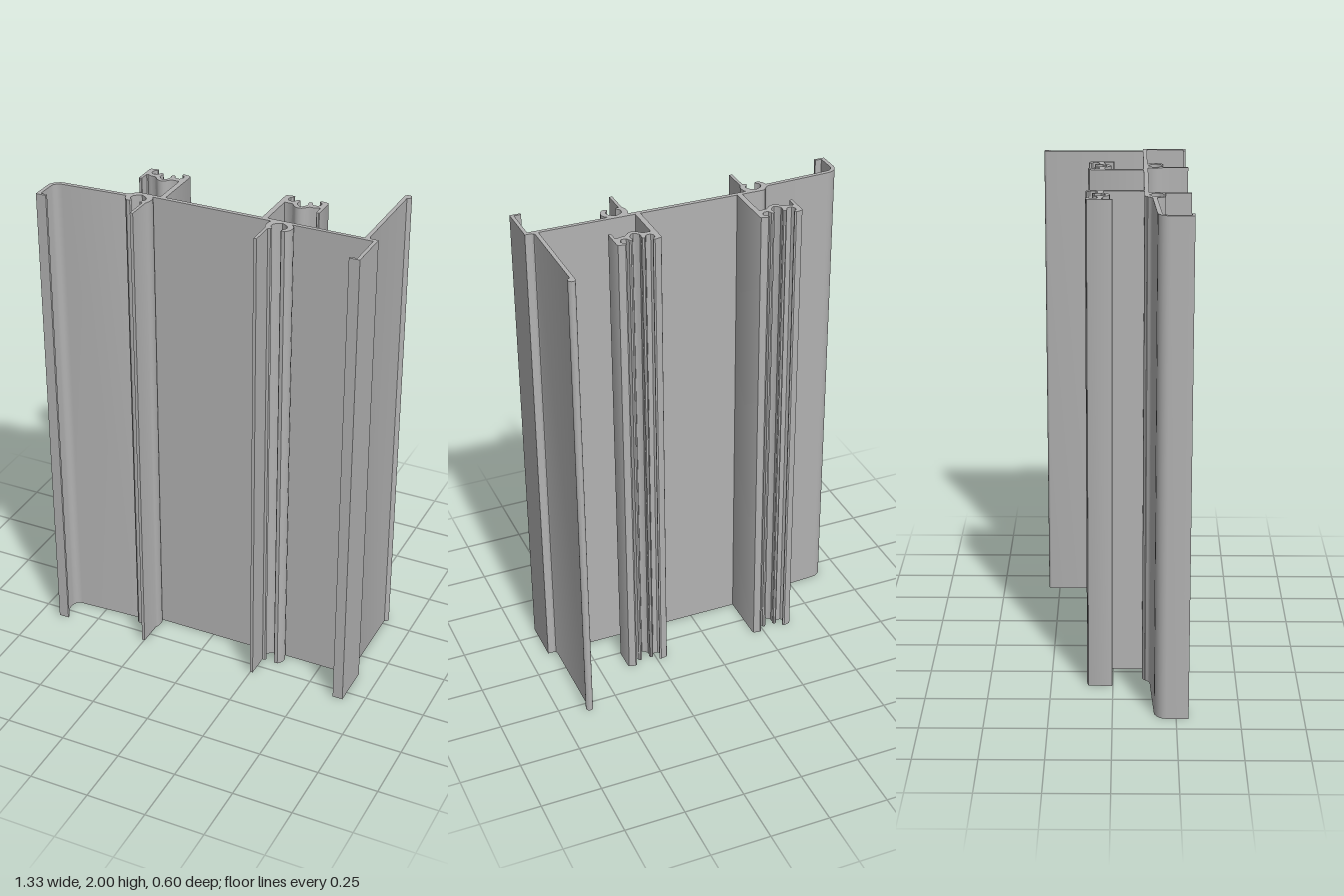
import * as THREE from 'three';
import { toCreasedNormals } from 'three/addons/utils/BufferGeometryUtils.js';

const UNIT = 1 / 280.3; // section drawing unit
const HEIGHT = 2;

export function createModel() {
  const group = new THREE.Group();
  group.name = 'extrudedFrameProfile';
  const aluminium = new THREE.MeshStandardMaterial({ color: 0xb2b2b2 });
  aluminium.name = 'aluminium grey';

  // Extrude a section outline (x, z) straight up; side -1 mirrors it in x
  function bar(name, points, side = 1) {
    const shape = new THREE.Shape(points.map(([x, z]) => new THREE.Vector2(side * x * UNIT, -z * UNIT)));
    const geometry = new THREE.ExtrudeGeometry(shape, { depth: HEIGHT, bevelEnabled: false });
    geometry.rotateX(-Math.PI / 2);
    const mesh = new THREE.Mesh(toCreasedNormals(geometry, 0.6), aluminium);
    mesh.name = name;
    group.add(mesh);
  }

  // Main plate
  bar('web', [[-86, 33.2], [182.5, 33.2], [182.5, 37.7], [92, 37.7], [92, 38.2], [-86, 38.2]]);

  // Sloping arm with rounded corner and hooked foot
  bar('slopingArm', [
    [-86, 33.2], [-88.5, 33.8], [-91, 35.5], [-94, 39], [-96, 40.8], [-98, 41.7],
    [-172, 45.7], [-176.5, 46.4], [-180.5, 48.4], [-184, 51.6], [-186, 55.5], [-186.5, 59],
    [-186.5, 83.7], [-174.5, 83.7], [-174.5, 80.7], [-182, 80.7],
    [-182, 59], [-181.3, 56], [-179, 52.8], [-176, 51.2], [-173, 50.7],
    [-97, 46.5], [-92, 44], [-86, 38.2],
  ]);

  // Side wall with inward foot
  bar('sideWall', [[182.5, 33.2], [186.5, 33.2], [186.5, 83.7], [174.5, 83.7], [174.5, 80.7], [182.5, 80.7]]);

  // Rear fin with a fillet at its root and a rounded bead on its edge
  const bead = [];
  for (let i = 0; i <= 14; i++) {
    const a = Math.PI + (i / 14) * Math.PI * 1.45;
    bead.push([175.7 + 4.2 * Math.cos(a), -79.5 + 4.2 * Math.sin(a)]);
  }
  bar('rearFin', [[171.5, 33.5], ...bead, [176, -75], [176, 29.5], [177, 32], [179.5, 33.5]]);

  // Screw port with its front leg
  const port = [
    [69, 36], [69, 38.2], [67.6, 41], [67, 45], [67.2, 49], [68.3, 52.5], [69.5, 55],
    [69.5, 83.7], [73, 83.7], [73, 56], [76, 55.7], [77.2, 54], [76, 52], [73.8, 50], [73.2, 47.5],
    [74, 44], [77, 41], [79.5, 39.8], [82, 38.5], [84.5, 39.8], [87, 41], [90, 44],
    [90.8, 47.5], [90.2, 50], [88, 52], [86.8, 54], [88, 55.7], [92, 55.7],
    [94.8, 53], [96.5, 49.5], [97, 46], [96.2, 42], [94.5, 39.5], [92, 37.7], [92, 36],
  ];

  // Grooved head: half of its upper edge, mirrored about the groove
  const MID = 81.5;
  const half = [
    [56.5, -26], [57.3, -27.6], [59, -28.3], [65, -29.4], [66.8, -28.5], [66.5, -26.5],
    [63.5, -24.5], [62.5, -22], [63, -19], [65, -16.8], [68, -16.3], [70.5, -17],
    [71.8, -19], [72.3, -21], [74, -22.2], [76, -21.5], [76.7, -19.5], [75.6, -16],
    [75.8, -13], [79, -9], [MID, -7.8],
  ];
  const otherHalf = half.slice(0, -1).reverse().map(([x, z]) => [2 * MID - x, z]);
  const head = [
    ...half, ...otherHalf,
    [106.5, -1], [105.8, -0.3], [103.6, -0.3], [103, -1], [103, -12], [101.5, -12.5],
    [97, -10.5], [92, -10.5], [90.5, -9.5], [87, -5.5], [84.5, -3.8], [MID, -3.3],
    [78.5, -3.8], [76, -5.5], [72.5, -9.5], [71, -10.5], [62.5, -10.5],
    [62.5, 33.5], [56.5, 33.5],
  ];

  for (const [side, label] of [[1, 'left'], [-1, 'right']]) {
    bar(label + 'ScrewPort', port, side);
    bar(label + 'PostAndHead', head, side);
  }
  return group;
}
